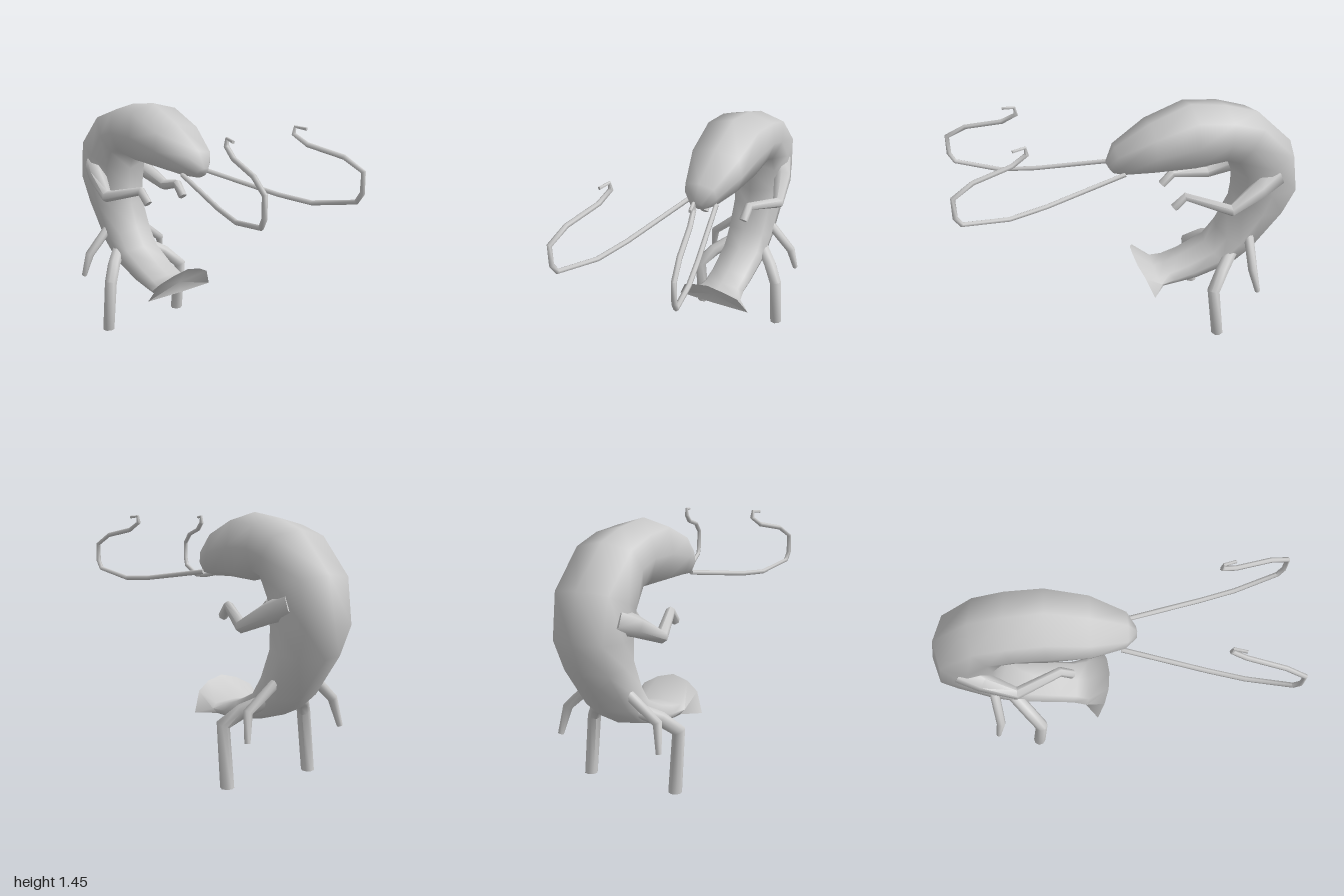
import * as THREE from 'three';
import { toCreasedNormals } from 'three/addons/utils/BufferGeometryUtils.js';

const V = (x, y, z) => new THREE.Vector3(x, y, z);

// Skin a list of rings (clockwise seen against the path) and close both ends.
function loft(name, rings, crease, endCentre) {
  const n = rings[0].length, tri = [];
  const mean = r => r.reduce((s, p) => s.add(p), V(0, 0, 0)).divideScalar(n);
  const last = rings.length - 1;
  const startC = mean(rings[0]), endC = endCentre || mean(rings[last]);
  for (let j = 0; j < n; j++) {
    const k = (j + 1) % n;
    for (let i = 0; i < last; i++) {
      const a = rings[i][j], b = rings[i][k], c = rings[i + 1][j], d = rings[i + 1][k];
      tri.push(a, b, c, b, d, c);
    }
    tri.push(startC, rings[0][k], rings[0][j]);
    tri.push(endC, rings[last][j], rings[last][k]);
  }
  const geo = toCreasedNormals(new THREE.BufferGeometry().setFromPoints(tri), crease);
  // The hollow tail fan is thin, so both sides show
  const mesh = new THREE.Mesh(geo, new THREE.MeshStandardMaterial({ color: 0xcccccc, side: THREE.DoubleSide }));
  mesh.name = name;
  return mesh;
}

// Jointed tube through points [x, y, z, radius], mitred at each bend.
function limb(name, side, points, sides) {
  const p = points.map(q => V(q[0] * side, q[1], q[2]));
  const seg = p.slice(1).map((q, i) => q.clone().sub(p[i]).normalize());
  let u = V(1, 0, 0);
  const rings = p.map((c, i) => {
    const inDir = seg[Math.max(i - 1, 0)], outDir = seg[Math.min(i, seg.length - 1)];
    const t = inDir.clone().add(outDir).normalize();
    u = u.clone().addScaledVector(t, -u.dot(t)).normalize();
    const v = t.clone().cross(u);
    return Array.from({ length: sides }, (_, j) => {
      const a = (j + 0.5) / sides * Math.PI * 2;
      const r = points[i][3];
      const q = c.clone().addScaledVector(u, Math.cos(a) * r).addScaledVector(v, Math.sin(a) * r);
      // Feet end flat on the floor
      if (points[i][1] === 0) q.y = 0;
      return q;
    });
  });
  return loft(name, rings, 1.15);
}

// Curled body: back z, back y, belly z, belly y, half width
const BODY = [
  [0.15, 1.15, 0.11, 1.09, 0.04],
  [0.10, 1.24, 0.06, 1.085, 0.10],
  [-0.10, 1.36, -0.10, 1.09, 0.165],
  [-0.33, 1.45, -0.33, 1.08, 0.183],
  [-0.54, 1.42, -0.50, 1.11, 0.187],
  [-0.73, 1.36, -0.56, 1.09, 0.185],
  [-0.95, 1.15, -0.595, 1.0, 0.18],
  [-1.0, 0.90, -0.60, 0.87, 0.167],
  [-0.93, 0.73, -0.59, 0.76, 0.15],
  [-0.74, 0.49, -0.53, 0.61, 0.147],
  [-0.61, 0.39, -0.46, 0.51, 0.143],
  [-0.40, 0.32, -0.30, 0.43, 0.135],
  [-0.28, 0.305, -0.20, 0.395, 0.135],
  [-0.17, 0.312, -0.13, 0.38, 0.155],
];
// Half section from back to belly: share of width, share of depth
const SECTION = [[0, 0], [0.87, 0.12], [1, 0.5], [0.8, 0.86], [0, 1]];

// Complete a half ring by mirroring it in x
const mirrorRing = half => [
  ...half,
  ...half.slice(1, -1).reverse().map(p => V(-p.x, p.y, p.z)),
];

function buildBody() {
  const rings = BODY.map(([oz, oy, iz, iy, w]) => mirrorRing(SECTION.map(([fx, t]) =>
    V(fx * w, oy + (iy - oy) * t, oz + (iz - oz) * t))));
  // Flared tail fan with a hollow end
  rings.push(mirrorRing([
    V(0, 0.32, -0.08), V(0.235, 0.32, -0.085), V(0.18, 0.43, -0.04),
    V(0.1, 0.475, -0.01), V(0, 0.5, 0),
  ]));
  return loft('bodyAndTailFan', rings, 1.4, V(0, 0.39, -0.08));
}

// Antenna path: z, y; it leans outward evenly along z
const ANTENNA = [
  [0.06, 1.11], [0.52, 1.05], [0.72, 1.04], [0.96, 1.09], [0.988, 1.14],
  [0.986, 1.25], [0.88, 1.31], [0.68, 1.345], [0.60, 1.39], [0.605, 1.43], [0.67, 1.425],
];

export function createModel() {
  const model = new THREE.Group();
  model.name = 'shrimp';
  model.add(buildBody());

  for (const side of [1, -1]) {
    const tag = side > 0 ? 'left' : 'right';
    model.add(limb(tag + 'Antenna', side, ANTENNA.map(([z, y], i) =>
      [0.09 + 0.27 * (z - 0.08), y, z, i > 8 ? 0.009 : 0.014]), 6));

    // Arm with broad shoulder, bent elbow and drooping hand
    model.add(limb(tag + 'Arm', side, [
      [0.12, 1.0, -0.82, 0.07], [0.175, 0.955, -0.71, 0.057], [0.222, 0.868, -0.53, 0.036],
      [0.135, 0.945, -0.28, 0.028], [0.13, 0.88, -0.215, 0.026],
    ], 6));

    // Thick front leg, standing on the floor
    model.add(limb(tag + 'FrontLeg', side, [
      [0.08, 0.49, -0.62, 0.04], [0.2, 0.415, -0.51, 0.04],
      [0.272, 0.335, -0.438, 0.039], [0.274, 0, -0.48, 0.038],
    ], 8));

    // Thin raised rear leg
    model.add(limb(tag + 'RearLeg', side, [
      [0.1, 0.61, -0.7, 0.03], [0.278, 0.455, -0.675, 0.027], [0.305, 0.305, -0.71, 0.016],
    ], 8));
  }
  return model;
}
